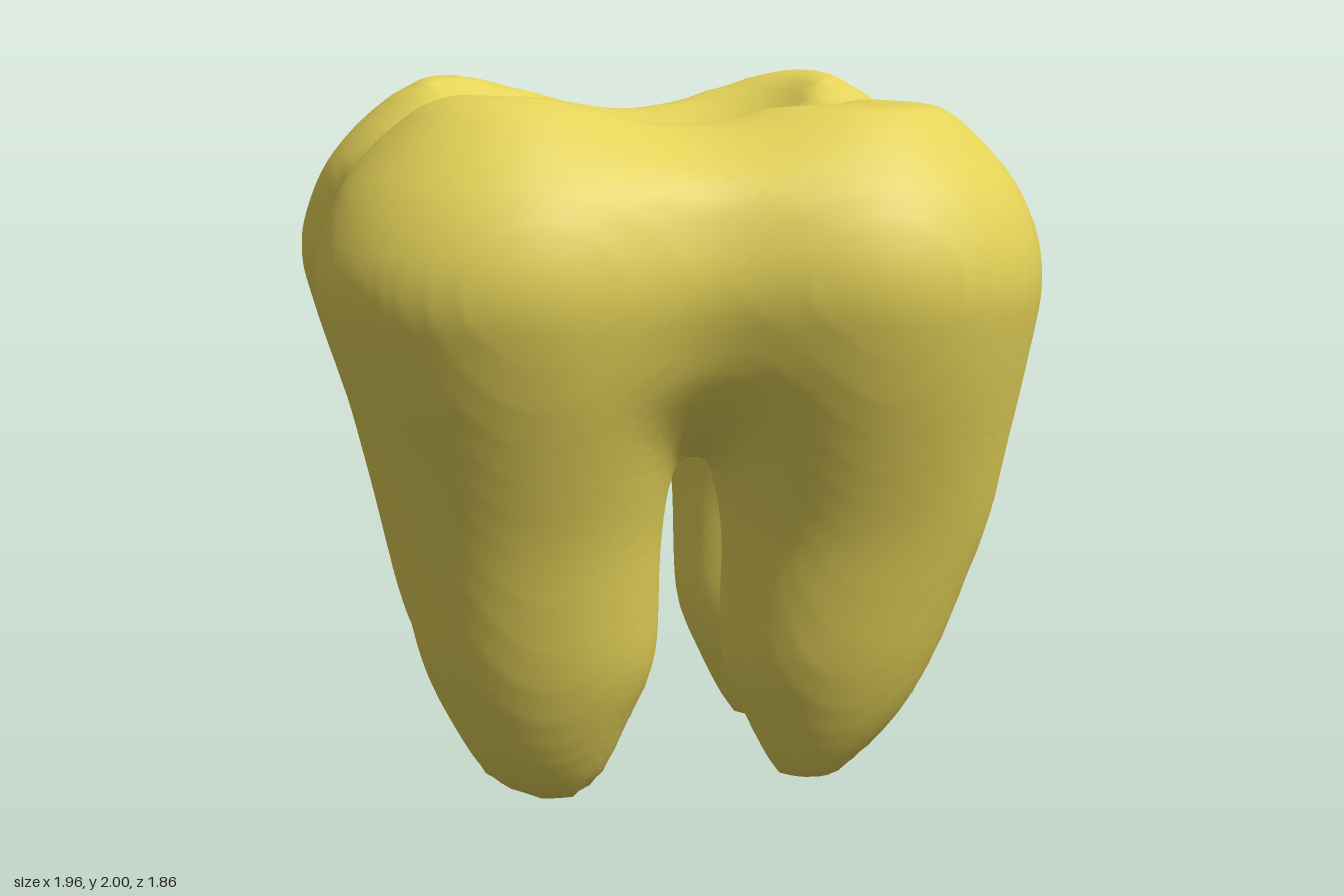
import * as THREE from 'three';

// Edges of the four lobes by height:
// y, then outer and inner distance on the right (-x), left (+x), front (+z) and back (-z)
const PROFILE = [
  [0.00, .38, .30, .42, .34, .34, .29, .32, .28],
  [0.08, .54, .20, .50, .27, .42, .23, .41, .20],
  [0.20, .61, .16, .63, .21, .50, .16, .51, .14],
  [0.40, .71, .06, .74, .12, .59, .09, .59, .08],
  [0.80, .80, .06, .87, .12, .70, .10, .68, .07],
  [1.05, .86, .02, .91, .06, .80, .04, .79, .04],
  [1.25, .93, -.04, .95, -.01, .88, -.04, .88, -.04],
  [1.50, 1.0, -.08, .99, -.08, .95, -.08, .94, -.08],
  [1.70, .94, -.07, .94, -.07, .90, -.07, .90, -.07],
  [1.80, .88, -.03, .87, -.03, .83, -.03, .84, -.03],
  [1.93, .74, .16, .73, .16, .70, .16, .70, .13],
  [2.01, .59, .40, .58, .40, .57, .36, .52, .28],
];
const { lerp, clamp, smoothstep } = THREE.MathUtils;

function sampleProfile(y) {
  let i = 0;
  while (i < PROFILE.length - 2 && y > PROFILE[i + 1][0]) i++;
  const a = PROFILE[i], b = PROFILE[i + 1];
  const t = clamp((y - a[0]) / (b[0] - a[0]), 0, 1);
  return a.map((v, j) => lerp(v, b[j], t));
}

// Profile softened over a small height range
function softProfile(y) {
  const r = clamp(Math.min(y, 2.01 - y) * 0.5, 0, 0.08);
  const s = [-1, -0.5, 0, 0.5, 1].map((o) => sampleProfile(y + o * r));
  return s[0].map((_, j) => s.reduce((sum, row) => sum + row[j], 0) / s.length);
}

function smin(a, b, k) {
  const h = Math.max(k - Math.abs(a - b), 0) / k;
  return Math.min(a, b) - h * h * k * 0.25;
}

// Height of the chewing surface: a small steep pit, a gentle rim, and one cusp leaning inward
function basinHeight(x, z) {
  const reach = Math.cbrt(Math.abs(x + 0.04) ** 3 + Math.abs(z + 0.02) ** 3);
  const cusp = 0.09 * Math.exp(-((x - 0.2) ** 2 + (z - 0.32) ** 2) / 0.03);
  return 1.56 + 0.3 * smoothstep(reach, 0.05, 0.48) + 0.25 * smoothstep(reach, 0.4, 0.75) + cusp;
}

// Signed field of the tooth at one height: four blended lobes less the chewing basin
function layerField(y) {
  const p = softProfile(y);
  const k = lerp(0.05, 0.42, smoothstep(y, 0.8, 1.3)) + 0.12 * smoothstep(y, 1.6, 1.9);
  // ix, iz pick the profile columns; tip and top limit the lobe's height
  const lobe = (x, z, ix, iz, tip, top) => {
    const rx = (p[ix] - p[ix + 1]) / 2, rz = (p[iz] - p[iz + 1]) / 2;
    const cx = (p[ix] + p[ix + 1]) / 2, cz = (p[iz] + p[iz + 1]) / 2;
    const side = (Math.hypot((x - cx) / rx, (z - cz) / rz) - 1) * (rx + rz) / 2;
    return -smin(-Math.max(side, tip - y), top - y, 0.04);
  };
  return (x, z) => {
    const front = smin(lobe(-x, z, 1, 5, 0.015, 1.98), lobe(x, z, 3, 5, 0.045, 1.95), k);
    const back = smin(lobe(-x, -z, 1, 7, 0, 2.01), lobe(x, -z, 3, 7, 0.045, 2.01), k);
    const basin = (basinHeight(x, z) - y) * 0.8;
    return -smin(-smin(front, back, k), basin, 0.06);
  };
}

// Turns the field into one smooth skin: a vertex per crossed cell, a quad per crossed edge
function skinGeometry() {
  const step = 0.04, n = [56, 56, 56], origin = [-1.1, -0.1, -1.1];
  const stride = [1, n[0], n[0] * n[1]];
  const values = new Float32Array(n[0] * n[1] * n[2]);
  for (let j = 0; j < n[1]; j++) {
    const field = layerField(origin[1] + j * step);
    for (let k = 0; k < n[2]; k++) for (let i = 0; i < n[0]; i++)
      values[i + j * stride[1] + k * stride[2]] = field(origin[0] + i * step, origin[2] + k * step);
  }

  const cellVertex = new Int32Array(values.length).fill(-1);
  const positions = [], indices = [];
  for (let k = 0; k < n[2] - 1; k++) for (let j = 0; j < n[1] - 1; j++) for (let i = 0; i < n[0] - 1; i++) {
    const cell = i + j * stride[1] + k * stride[2];
    const sum = [0, 0, 0];
    let count = 0;
    for (let c = 0; c < 8; c++) for (let a = 0; a < 3; a++) {
      if (c & (1 << a)) continue;
      const bits = [c & 1, (c >> 1) & 1, (c >> 2) & 1];
      const at = cell + bits[0] + bits[1] * stride[1] + bits[2] * stride[2];
      const v0 = values[at], v1 = values[at + stride[a]];
      if ((v0 < 0) === (v1 < 0)) continue;
      bits[a] = v0 / (v0 - v1);
      bits.forEach((b, m) => { sum[m] += b; });
      count++;
    }
    if (!count) continue;
    cellVertex[cell] = positions.length / 3;
    [i, j, k].forEach((g, m) => positions.push(origin[m] + (g + sum[m] / count) * step));
  }

  for (let k = 1; k < n[2] - 1; k++) for (let j = 1; j < n[1] - 1; j++) for (let i = 1; i < n[0] - 1; i++) {
    const at = i + j * stride[1] + k * stride[2];
    for (let a = 0; a < 3; a++) {
      const inside = values[at] < 0;
      if (inside === (values[at + stride[a]] < 0)) continue;
      const u = stride[(a + 1) % 3], v = stride[(a + 2) % 3];
      const q = [at - u - v, at - v, at, at - u].map((c) => cellVertex[c]);
      if (!inside) q.reverse();
      indices.push(q[0], q[1], q[2], q[0], q[2], q[3]);
    }
  }

  const geometry = new THREE.BufferGeometry();
  geometry.setAttribute('position', new THREE.Float32BufferAttribute(positions, 3));
  geometry.setIndex(indices);
  geometry.computeVertexNormals();
  return geometry;
}

export function createModel() {
  const group = new THREE.Group();
  group.name = 'molarTooth';

  // Crown and four roots as one continuous skin
  const tooth = new THREE.Mesh(skinGeometry(), new THREE.MeshStandardMaterial({ color: 0xe4d258 }));
  tooth.name = 'crownAndRoots';
  group.add(tooth);
  return group;
}
